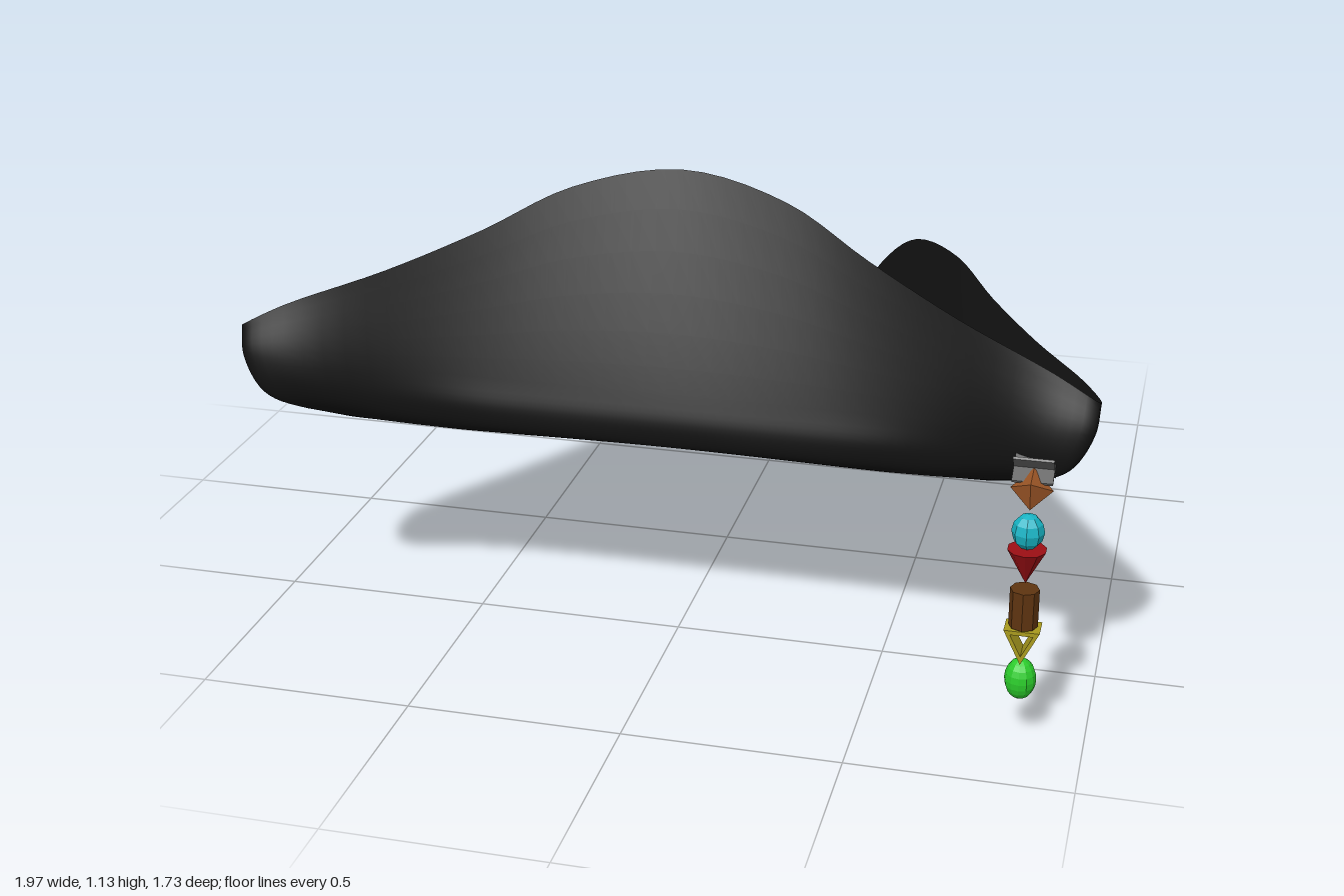
import * as THREE from 'three';

const felt = new THREE.MeshStandardMaterial({ color: 0x111111, side: THREE.DoubleSide });

// Half of one brim side per level: [along side, distance from centre, height]; last entry is the corner radius and height.
const LEVELS = [
  { pts: [[0, 0.475, -0.15], [0.22, 0.475, -0.15], [0.42, 0.475, -0.15], [0.6, 0.475, -0.15], [0.78, 0.487, -0.145]], corner: [0.97, -0.14], dent: 0.085, power: 4 },
  { pts: [[0, 0.505, -0.11], [0.24, 0.505, -0.11], [0.44, 0.508, -0.11], [0.64, 0.515, -0.11], [0.84, 0.547, -0.11]], corner: [1.07, -0.11], dent: 0.09, power: 4 },
  { pts: [[0, 0.512, -0.03], [0.25, 0.513, -0.03], [0.45, 0.52, -0.03], [0.65, 0.54, -0.03], [0.87, 0.576, -0.03]], corner: [1.125, -0.03], dent: 0.085, power: 4 },
  { pts: [[0, 0.515, 0.41], [0.25, 0.525, 0.36], [0.45, 0.537, 0.26], [0.66, 0.558, 0.165], [0.88, 0.58, 0.08]], corner: [1.135, 0.04], dent: 0.055, power: 2 },
];

// Closed loop through the three sides; the front side is pressed in and rises higher
function levelCurve({ pts, corner, dent, power }) {
  const loop = [];
  for (let side = 0; side < 3; side++) {
    const a = side * Math.PI * 2 / 3;
    const put = (s, n, h) => loop.push(new THREE.Vector3(
      Math.sin(a) * n + Math.cos(a) * s, h, Math.cos(a) * n - Math.sin(a) * s));
    const place = ([s, n, h], sign) => {
      const front = side === 0;
      const press = front ? dent * Math.max(0, 1 - (s / 0.9) ** power) : 0;
      put(sign * s, n - press, front && h > 0 ? h * 1.17 : h);
    };
    for (let i = pts.length - 1; i > 0; i--) place(pts[i], -1);
    pts.forEach((p) => place(p, 1));
    put(corner[0] * 0.866, corner[0] * 0.5, corner[1]);
  }
  return new THREE.CatmullRomCurve3(loop, true, 'centripetal');
}

const CROWN_R = 0.4, CROWN_Z = -0.035;

// Brim: floor around the head opening, then folded up to the rim
function brimGeometry(cols = 150, rows = 24) {
  const curves = LEVELS.map(levelCurve);
  const positions = [], index = [];
  for (let c = 0; c < cols; c++) {
    const ring = curves.map((curve) => curve.getPoint(c / cols));
    const a = Math.atan2(ring[0].x, ring[0].z - CROWN_Z);
    const hole = new THREE.Vector3(Math.sin(a) * CROWN_R, -0.15, CROWN_Z + Math.cos(a) * CROWN_R);
    const column = new THREE.CatmullRomCurve3([hole, ...ring], false, 'centripetal');
    for (let r = 0; r <= rows; r++) {
      positions.push(...column.getPoint(r / rows).toArray());
      if (r < rows) {
        const p = c * (rows + 1) + r, q = ((c + 1) % cols) * (rows + 1) + r;
        index.push(p, p + 1, q, q, p + 1, q + 1);
      }
    }
  }
  const geo = new THREE.BufferGeometry();
  geo.setAttribute('position', new THREE.Float32BufferAttribute(positions, 3));
  geo.setIndex(index);
  geo.computeVertexNormals();
  return geo;
}

function mesh(name, geo, material, parent, y = 0, z = 0) {
  const m = new THREE.Mesh(geo, material);
  m.name = name;
  m.position.set(0, y, z);
  parent.add(m);
  return m;
}

export function createModel() {
  const model = new THREE.Group();
  model.name = 'tricornHat';

  // Hat, tilted back
  const hat = new THREE.Group();
  hat.name = 'hat';
  hat.position.set(0, 0.53, 0.19);
  hat.rotation.x = -0.393;
  model.add(hat);
  mesh('brim', brimGeometry(), felt, hat);
  const dome = new THREE.SphereGeometry(CROWN_R, 48, 16, 0, Math.PI * 2, 0, Math.PI / 2);
  dome.scale(1, 0.88, 1);
  mesh('crown', dome, felt, hat, -0.15, CROWN_Z);

  // String of beads hanging from the left corner
  const beads = new THREE.Group();
  beads.name = 'beadString';
  beads.position.x = 0.855;
  model.add(beads);
  const paint = (color) => new THREE.MeshStandardMaterial({ color, flatShading: true });

  // Crossed clasp plates
  const grey = paint(0x666666);
  for (const tilt of [0.8, -0.45]) {
    mesh('claspPlate', new THREE.BoxGeometry(0.088, 0.006, 0.088), grey, beads, 0.64, 0.74).rotation.x = -tilt;
  }

  mesh('copperBead', new THREE.OctahedronGeometry(0.046), paint(0x9a5526), beads, 0.605, 0.775).rotation.x = 0.95;

  const cyan = new THREE.SphereGeometry(0.036, 8, 6);
  cyan.scale(1, 1.12, 1);
  mesh('cyanBead', cyan, paint(0x18b4c4), beads, 0.522, 0.81);

  mesh('redConeBead', new THREE.ConeGeometry(0.043, 0.082, 10), paint(0x9c0f14), beads, 0.441, 0.812).rotation.x = Math.PI;

  mesh('brownBead', new THREE.CylinderGeometry(0.032, 0.032, 0.088, 8), paint(0x5e3410), beads, 0.343, 0.812);

  // Open triangular bead, point down
  const triangle = (Type, r) => new Type([0, 1, 2].map((i) => {
    const a = -Math.PI / 2 + i * Math.PI * 2 / 3;
    return new THREE.Vector2(Math.cos(a) * r * 0.85, Math.sin(a) * r);
  }));
  const frame = triangle(THREE.Shape, 0.053);
  frame.holes.push(triangle(THREE.Path, 0.034));
  mesh('yellowTriangleBead', new THREE.ExtrudeGeometry(frame, { depth: 0.055, bevelEnabled: false }),
    paint(0xa89a1e), beads, 0.268, 0.783);

  const green = new THREE.SphereGeometry(0.035, 12, 10);
  green.scale(1, 1.38, 1);
  mesh('greenBead', green, paint(0x2bcc2b), beads, 0.167, 0.81);

  return model;
}
